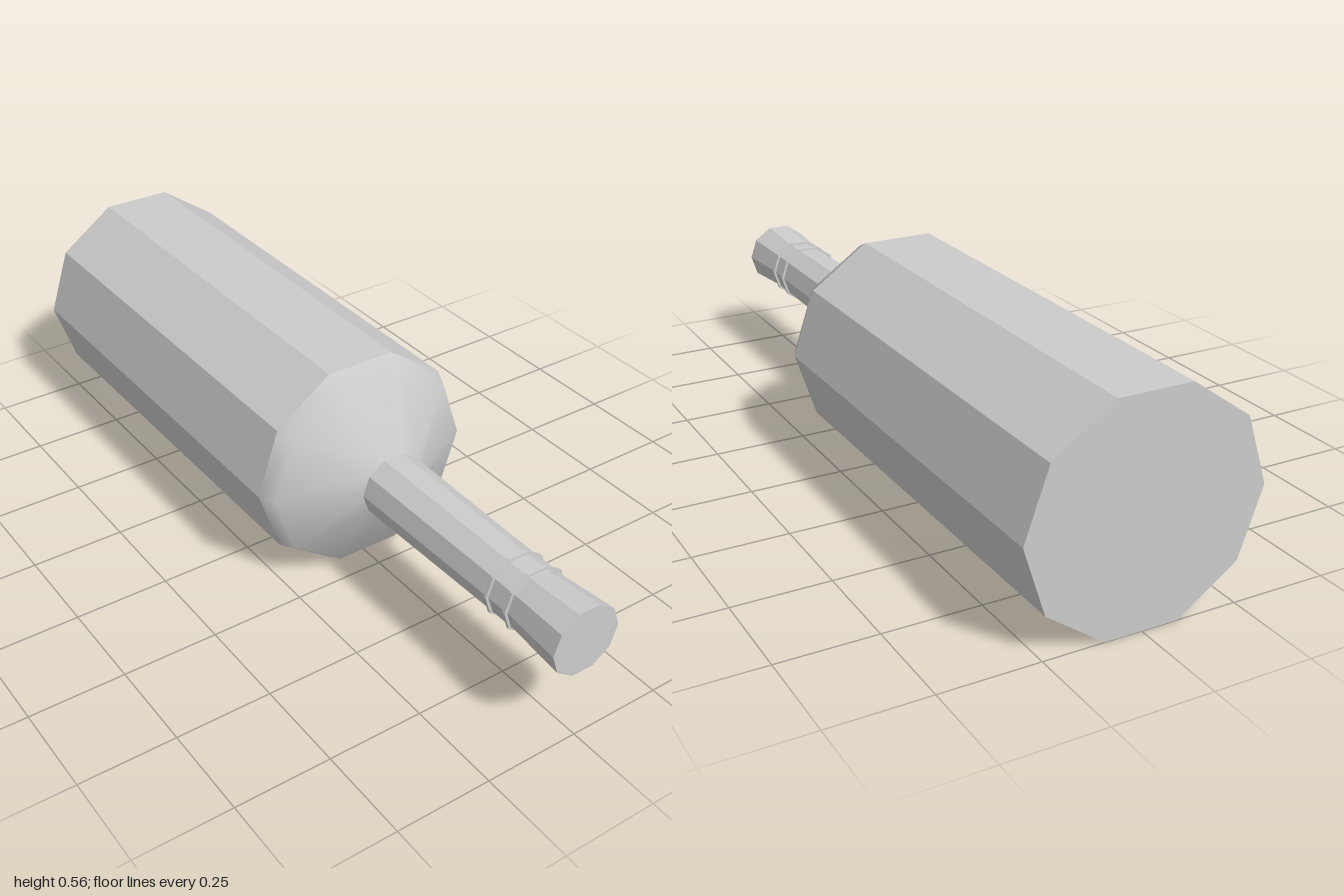
import * as THREE from 'three';

const SIDES = 10;
const CENTRE_Y = 0.282;
const SQUASH = 0.97; // cross-section is slightly flatter than wide

// Turns [radius, z] profile points around the z axis, with a corner on each side.
function turned(name, profile, smooth = false) {
  const points = profile.map(([r, z]) => new THREE.Vector2(r, z));
  let geometry = new THREE.LatheGeometry(points, SIDES, Math.PI / 2);
  geometry.rotateX(Math.PI / 2);
  geometry.scale(1, SQUASH, 1);
  if (!smooth) {
    geometry = geometry.toNonIndexed();
    geometry.computeVertexNormals();
  }
  const material = new THREE.MeshStandardMaterial({ color: 0xcccccc, flatShading: !smooth });
  const mesh = new THREE.Mesh(geometry, material);
  mesh.name = name;
  mesh.position.y = CENTRE_Y;
  return mesh;
}

export function createModel() {
  const bottle = new THREE.Group();
  bottle.name = 'bottle';

  // Body with a closed base
  bottle.add(turned('body', [[0, -1], [0.305, -1], [0.305, 0.155]]));

  // Smooth shoulder narrowing to the neck
  bottle.add(turned('shoulder', [[0.305, 0.155], [0.284, 0.2], [0.09, 0.298]], true));

  // Slightly tapered neck
  bottle.add(turned('neck', [[0.09, 0.29], [0.083, 0.76], [0.083, 0.84]]));

  // Two thin raised rings
  for (const [i, z] of [0.765, 0.83].entries()) {
    bottle.add(turned(`neckRing${i + 1}`, [
      [0.08, z - 0.005], [0.09, z - 0.004], [0.09, z + 0.004], [0.08, z + 0.005],
    ]));
  }

  // Flared mouth with a closed end
  bottle.add(turned('mouth', [[0.082, 0.835], [0.095, 1], [0, 1]]));

  return bottle;
}
